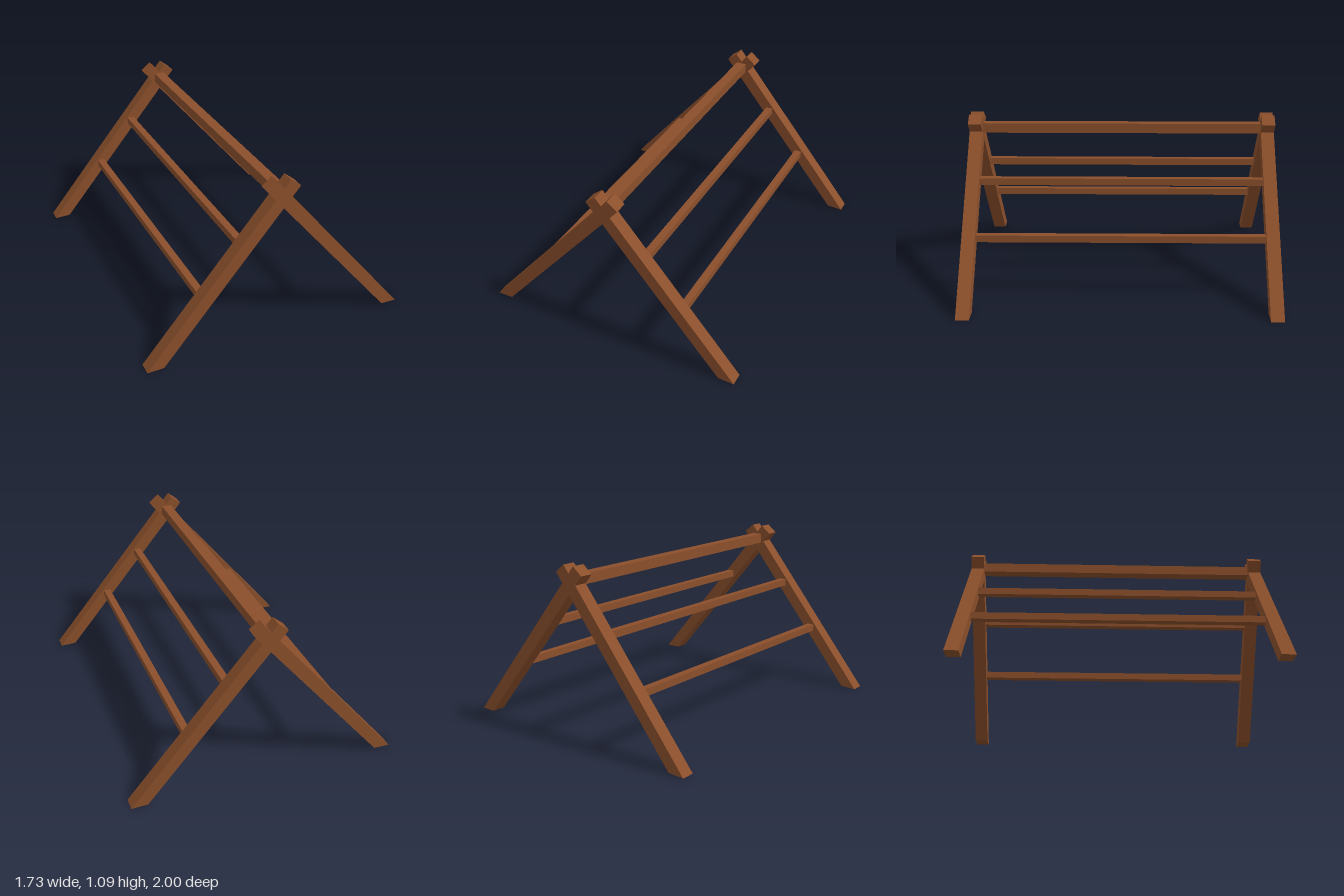
import * as THREE from 'three';

export function createModel() {
  const group = new THREE.Group();
  const wood = new THREE.MeshStandardMaterial({ color: 0x8b4f2b, flatShading: true });
  const legDepth = 0.085;

  // Slanted leg: foot cut level with the ground, top end cut square past the crossing
  function addLeg(side, z, name) {
    const corners = [[0.865, 0], [-0.04, 1.085], [-0.105, 1.033], [0.76, 0.003]];
    const points = corners.map(([x, y]) => new THREE.Vector2(side * x, y));
    const geometry = new THREE.ExtrudeGeometry(new THREE.Shape(points), { depth: legDepth, bevelEnabled: false });
    const leg = new THREE.Mesh(geometry, wood);
    leg.position.z = z;
    leg.name = name;
    group.add(leg);
  }

  for (const [side, sideName] of [[1, 'left'], [-1, 'right']]) {
    addLeg(side, 1 - legDepth, sideName + 'FrontLeg');
    addLeg(side, -1, sideName + 'BackLeg');
  }

  // Horizontal bars joining the front and back frames
  function addBar(x, y, width, height, name) {
    const bar = new THREE.Mesh(new THREE.BoxGeometry(width, height, 1.85), wood);
    bar.position.set(x, y, 0);
    bar.name = name;
    group.add(bar);
  }

  addBar(0, 0.992, 0.068, 0.064, 'ridgeBar');
  for (const [side, sideName] of [[1, 'left'], [-1, 'right']]) {
    addBar(side * 0.237, 0.692, 0.047, 0.045, sideName + 'UpperRung');
    addBar(side * 0.485, 0.392, 0.047, 0.045, sideName + 'LowerRung');
  }

  return group;
}
